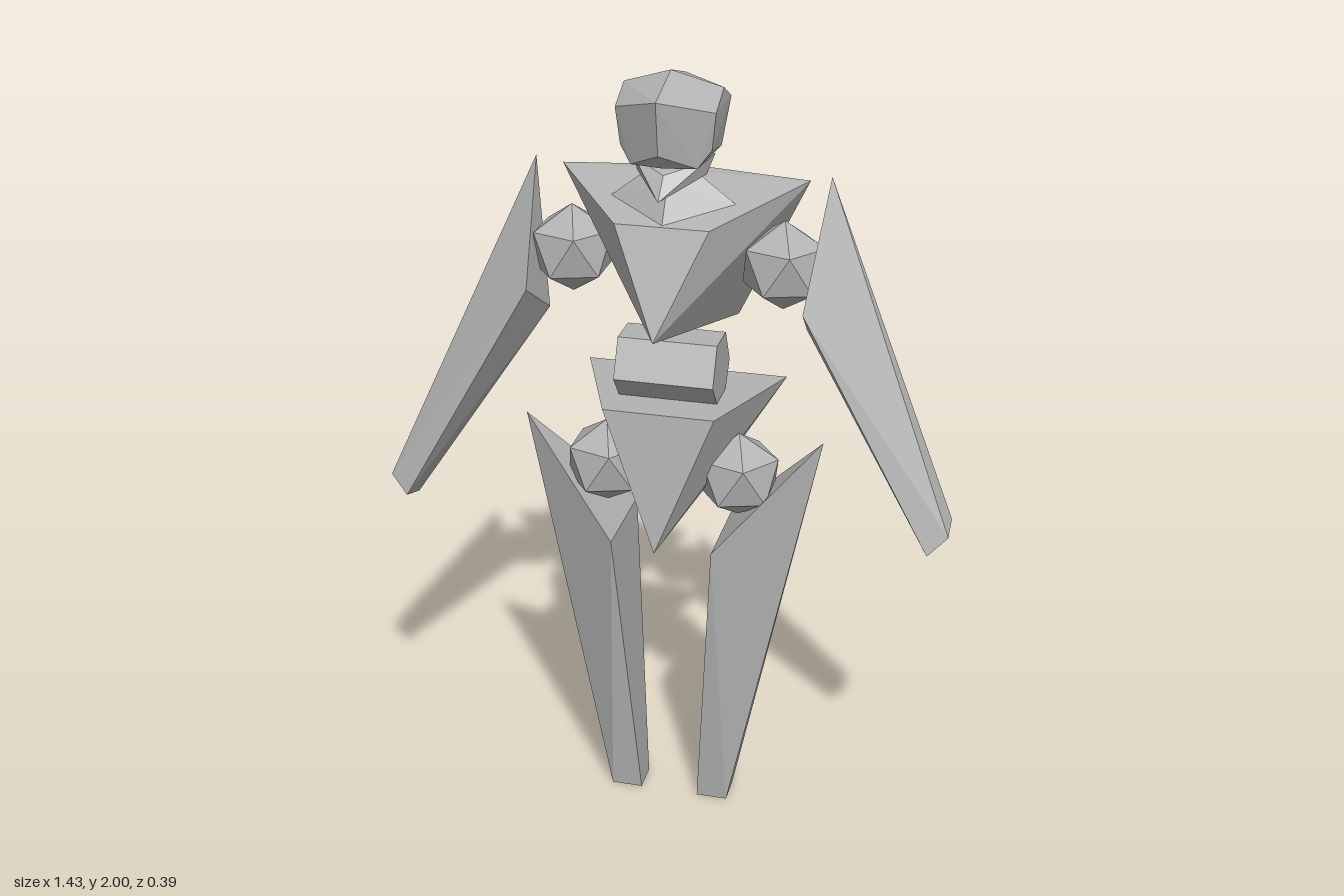
import * as THREE from 'three';
import { ConvexGeometry } from 'three/addons/geometries/ConvexGeometry.js';

export function createModel() {
  const model = new THREE.Group();
  model.name = 'mannequin';
  const grey = new THREE.MeshStandardMaterial({ color: 0xb2b2b2, flatShading: true });
  grey.name = 'plain grey';

  const add = (name, geometry) => {
    const mesh = new THREE.Mesh(geometry, grey);
    mesh.name = name;
    model.add(mesh);
    return mesh;
  };

  // Faceted block spanning a few corner points, with x scaled by side
  const block = (name, points, side = 1) =>
    add(name, new ConvexGeometry(points.map(([x, y, z]) => new THREE.Vector3(x * side, y, z))));

  // Symmetric block: every corner off the centre line is mirrored
  const mirrored = (name, points) =>
    block(name, points.flatMap(([x, y, z]) => (x ? [[x, y, z], [-x, y, z]] : [[x, y, z]])));

  // Head with a peaked crown and narrowing face
  mirrored('head', [
    [0, 2, 0.015], [0, 1.96, 0.16], [0.12, 1.92, 0.07], [0.12, 1.96, -0.01],
    [0.12, 1.92, -0.09], [0, 1.96, -0.125], [0, 1.83, 0.14], [0.11, 1.83, 0.065],
    [0.08, 1.79, 0.085], [0, 1.79, 0.1], [0.1, 1.8, -0.08], [0, 1.765, -0.122],
  ]);
  // Jaw jutting forward under the face
  mirrored('jaw', [
    [0, 1.72, 0.14], [0, 1.77, 0.09], [0.085, 1.79, 0.03],
    [0.085, 1.755, 0.01], [0.085, 1.78, -0.08], [0, 1.76, -0.122],
  ]);
  // Neck and collar
  mirrored('collar', [
    [0.06, 1.755, 0.0], [0, 1.74, 0.05], [0, 1.76, -0.07],
    [0.155, 1.68, -0.005], [0, 1.64, 0.11], [0, 1.69, -0.14],
  ]);

  // Torso
  mirrored('chest', [
    [0, 1.715, -0.18], [0.31, 1.715, -0.125], [0.115, 1.65, 0.11],
    [0, 1.39, 0.195], [0.125, 1.33, -0.192],
  ]);
  mirrored('waist', [
    [0.125, 1.34, 0.055], [0.125, 1.245, 0.1], [0.125, 1.17, 0.04],
    [0.125, 1.19, -0.05], [0.125, 1.25, -0.088], [0.125, 1.34, -0.04],
  ]);
  mirrored('pelvis', [
    [0.26, 1.185, -0.155], [0.14, 1.185, 0.15], [0.13, 0.98, -0.085], [0, 0.825, 0.192],
  ]);

  // Ball joint standing on a vertex
  const joint = (name, radius, x, y, z) => {
    const ball = new THREE.IcosahedronGeometry(radius, 0);
    ball.rotateZ(Math.atan(2 / (1 + Math.sqrt(5))));
    ball.rotateY(Math.PI);
    add(name, ball).position.set(x, y, z);
  };

  // Limbs on both sides
  for (const [label, side] of [['left', 1], ['right', -1]]) {
    joint(label + 'ShoulderJoint', 0.113, side * 0.265, 1.525, -0.045);
    joint(label + 'HipJoint', 0.113, side * 0.172, 0.975, 0);
    block(label + 'Arm', [
      [0.367, 1.74, -0.09], [0.34, 1.46, 0.105], [0.327, 1.365, -0.04],
      [0.717, 0.945, 0.055], [0.717, 0.925, 0.12], [0.67, 0.88, 0.142], [0.662, 0.862, 0.078],
    ], side);
    block(label + 'Leg', [
      [0.385, 1.085, 0], [0.13, 0.805, 0.127], [0.13, 0.805, -0.13],
      [0.16, 0, 0.04], [0.16, 0, -0.04], [0.078, 0, 0.04], [0.078, 0, -0.04],
    ], side);
  }

  return model;
}
